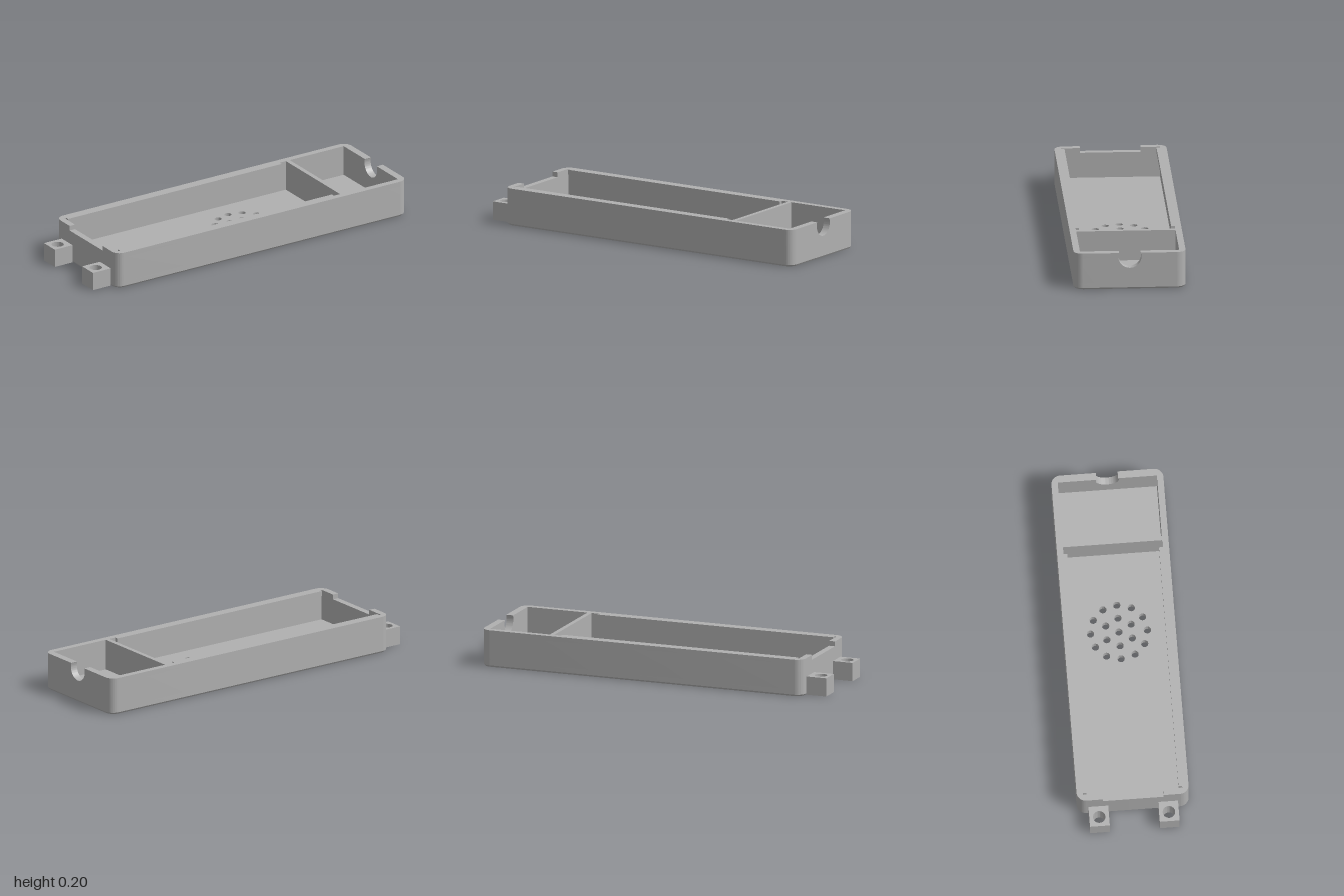
import * as THREE from 'three';
import { toCreasedNormals } from 'three/addons/utils/BufferGeometryUtils.js';

const X0 = -0.885, X1 = 1, Z = 0.305, R = 0.05;   // outer footprint
const FLOOR = 0.036, LIP = 0.178, TOP = 0.205;    // levels

// Extrude a plan shape upward from y0 to y1
function extrudeUp(shape, y0, y1, steps = 1) {
  const g = new THREE.ExtrudeGeometry(shape, { depth: y1 - y0, steps, bevelEnabled: false, curveSegments: 20 });
  g.rotateX(-Math.PI / 2);
  g.translate(0, y0, 0);
  return g;
}

function addHole(shape, x, y, r) {
  shape.holes.push(new THREE.Path().absarc(x, y, r, 0, Math.PI * 2, true));
}

// Rounded rectangle footprint
function footprint() {
  const s = new THREE.Shape();
  s.absarc(X1 - R, Z - R, R, 0, Math.PI / 2);
  s.absarc(X0 + R, Z - R, R, Math.PI / 2, Math.PI);
  s.absarc(X0 + R, -Z + R, R, Math.PI, Math.PI * 1.5);
  s.absarc(X1 - R, -Z + R, R, Math.PI * 1.5, Math.PI * 2);
  s.closePath();
  return s;
}

// Half of the wall plan: side = 1 or -1, zEnd = where the end wall stops
function halfWall(side, zEnd, lip) {
  const s = new THREE.Shape();
  const to = (x, z) => s.lineTo(x, z * side);
  const cw = side > 0;
  s.moveTo(X0, zEnd * side);
  to(X0, Z - R);
  s.absarc(X0 + R, (Z - R) * side, R, Math.PI, side * Math.PI / 2, cw);
  s.absarc(X1 - R, (Z - R) * side, R, side * Math.PI / 2, 0, cw);
  to(X1, 0.07); to(0.96, 0.07); to(0.96, 0.27);
  to(0.61, 0.27); to(0.61, 0); to(0.585, 0); to(0.585, 0.27);
  if (lip) { to(0.545, 0.27); to(0.545, 0.25); to(-0.84, 0.25); to(-0.84, 0.27); }
  to(-0.85, 0.27); to(-0.85, zEnd);
  s.closePath();
  return s;
}

export function createModel() {
  const group = new THREE.Group();
  const grey = new THREE.MeshStandardMaterial({ color: 0xb0b0b0 });
  grey.name = 'grey plastic';
  const add = (name, geometry) => {
    const m = new THREE.Mesh(toCreasedNormals(geometry, 0.5), grey);
    m.name = name;
    group.add(m);
  };

  // Floor with rings of round holes and a chamfered lower edge
  const floor = footprint();
  for (const [count, radius] of [[1, 0], [6, 0.08], [12, 0.155]]) {
    for (let i = 0; i < count; i++) {
      const a = i / count * Math.PI * 2;
      addHole(floor, 0.135 + radius * Math.cos(a), radius * Math.sin(a), 0.02);
    }
  }
  const floorGeo = extrudeUp(floor, 0, FLOOR, 4);
  const p = floorGeo.attributes.position;
  for (let i = 0; i < p.count; i++) {
    if (p.getY(i) < 0.001 && Math.abs(p.getZ(i)) > 0.2) {
      p.setX(i, p.getX(i) - 0.006 * Math.sign(p.getX(i)));
      p.setZ(i, p.getZ(i) - 0.006 * Math.sign(p.getZ(i)));
    }
  }
  add('floor', floorGeo);

  // Walls with divider, then the rim whose lips overhang the lid groove
  for (const side of [1, -1]) {
    const label = side > 0 ? 'Back' : 'Front';
    add('wall' + label, extrudeUp(halfWall(side, 0, false), FLOOR, LIP));
    add('rim' + label, extrudeUp(halfWall(side, 0.165, true), LIP, TOP));
  }

  // Middle of the end wall with the round cable notch
  const cy = 0.183, r = 0.063, a = Math.asin((TOP - cy) / r);
  const notch = new THREE.Shape();
  notch.moveTo(-0.07, TOP);
  notch.lineTo(-0.07, FLOOR);
  notch.lineTo(0.07, FLOOR);
  notch.lineTo(0.07, TOP);
  notch.absarc(0, cy, r, a, -Math.PI - a, true);
  notch.closePath();
  const notchGeo = new THREE.ExtrudeGeometry(notch, { depth: 0.04, bevelEnabled: false, curveSegments: 32 });
  notchGeo.rotateY(Math.PI / 2);
  notchGeo.translate(0.96, 0, 0);
  add('cableNotch', notchGeo);

  // Mounting lugs
  for (const side of [1, -1]) {
    const lug = new THREE.Shape();
    const z = 0.19 * side, h = 0.054;
    lug.moveTo(-1, z - h);
    lug.lineTo(X0, z - h);
    lug.lineTo(X0, z + h);
    lug.lineTo(-1, z + h);
    lug.closePath();
    addHole(lug, -0.947, z, 0.034);
    add(side > 0 ? 'mountingLugBack' : 'mountingLugFront', extrudeUp(lug, 0, 0.102));
  }
  return group;
}
